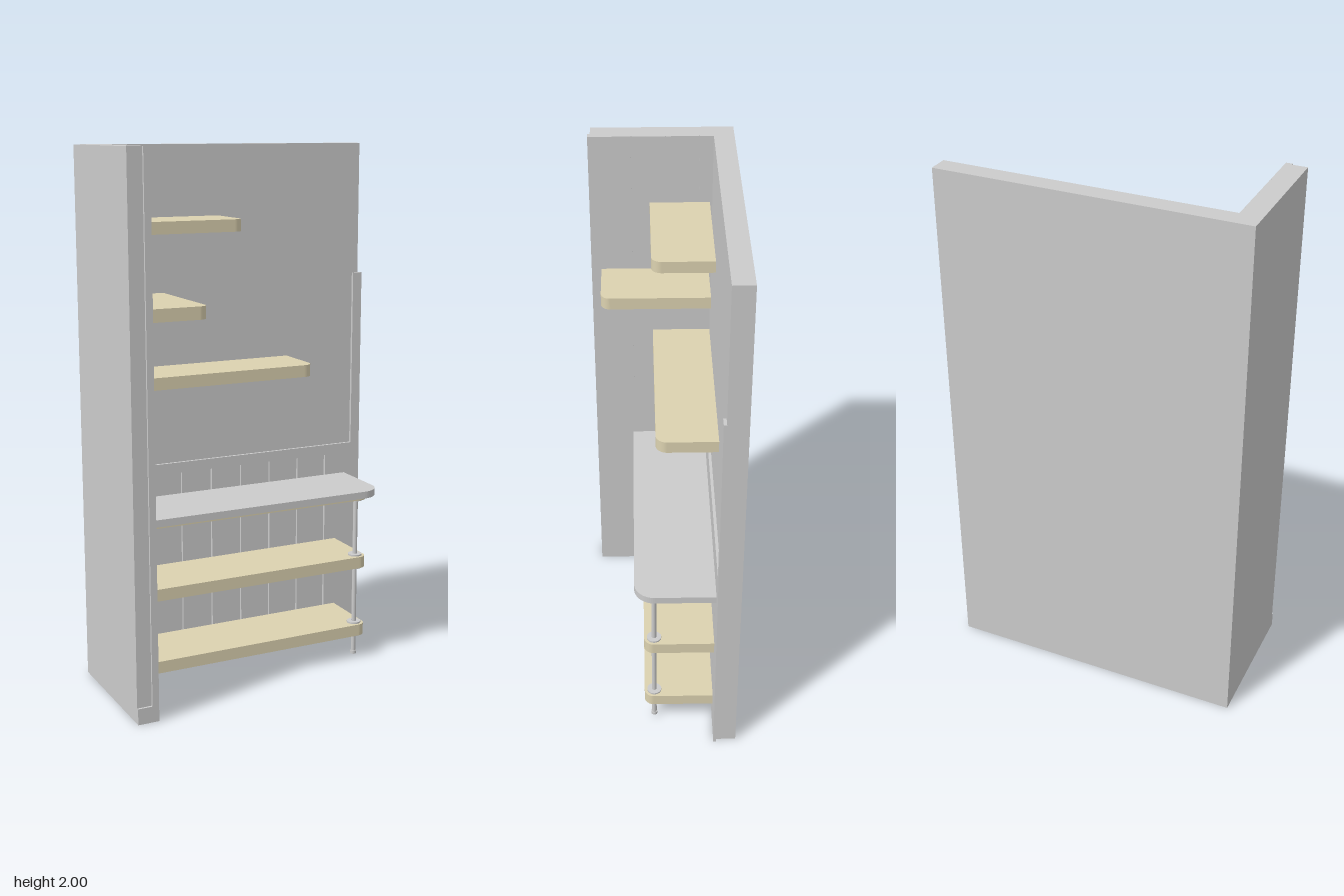
import * as THREE from 'three';

const grey = new THREE.MeshStandardMaterial({ color: 0xcccccc });
const wood = new THREE.MeshStandardMaterial({ color: 0xdcd2b0 });

const X0 = -0.495; // inner face of the side wall
const WALL = -0.191; // front face of the back wall
const PANEL = -0.18; // front face of the lower panel

export function createModel() {
  const group = new THREE.Group();
  const add = (name, geometry, material = grey) => {
    const mesh = new THREE.Mesh(geometry, material);
    mesh.name = name;
    group.add(mesh);
    return mesh;
  };
  const box = (name, x0, x1, y0, y1, z0, z1) =>
    add(name, new THREE.BoxGeometry(x1 - x0, y1 - y0, z1 - z0))
      .position.set((x0 + x1) / 2, (y0 + y1) / 2, (z0 + z1) / 2);

  // Extrude a plan drawn in (x, -z) upwards from y0 to y1
  const extrudeUp = (shape, y0, y1) =>
    new THREE.ExtrudeGeometry(shape, { depth: y1 - y0, bevelEnabled: false, curveSegments: 8 })
      .rotateX(-Math.PI / 2).translate(0, y0, 0);

  // Shelf against the side wall with one rounded free corner
  const shelf = (name, x1, y0, y1, z0, z1, r, material = wood) => {
    const s = new THREE.Shape();
    s.moveTo(X0, -z0);
    s.lineTo(X0, -z1);
    s.lineTo(x1 - r, -z1);
    s.absarc(x1 - r, -z1 + r, r, -Math.PI / 2, 0, false);
    s.lineTo(x1, -z0);
    s.closePath();
    add(name, extrudeUp(s, y0, y1), material);
  };

  // Back wall
  box('backWall', -0.575, 0.56, 0, 2, -0.265, WALL);

  // Side wall: rebated front outer corner and fine vertical grooves inside
  const side = new THREE.Shape();
  side.moveTo(-0.575, -WALL);
  side.lineTo(-0.575, -0.253);
  side.lineTo(-0.52, -0.253);
  side.lineTo(-0.52, -0.262);
  side.lineTo(X0, -0.262);
  for (const z of [0.105, -0.018, -0.14]) {
    side.lineTo(X0, -z - 0.002);
    side.lineTo(X0 - 0.004, -z - 0.002);
    side.lineTo(X0 - 0.004, -z + 0.002);
    side.lineTo(X0, -z + 0.002);
  }
  side.lineTo(X0, -WALL);
  side.closePath();
  add('sideWall', extrudeUp(side, 0, 2));
  box('sideWallBase', -0.575, -0.52, 0, 0.06, 0.253, 0.262);

  // L-shaped lower panel with vertical board grooves
  const panel = new THREE.Shape([
    [X0, 0], [0.573, 0], [0.573, 1.5], [0.535, 1.5], [0.535, 0.815], [X0, 0.815],
  ].map(([x, y]) => new THREE.Vector2(x, y)));
  for (let i = 0; i < 8; i++) {
    const x = -0.46 + i * 0.125, w = 0.003;
    panel.holes.push(new THREE.Path([
      [x - w, 0.01], [x - w, 0.775], [x + w, 0.775], [x + w, 0.01],
    ].map(([a, b]) => new THREE.Vector2(a, b))));
  }
  add('lowerPanel', new THREE.ExtrudeGeometry(panel, { depth: PANEL - WALL, bevelEnabled: false })
    .translate(0, 0, WALL));

  // Wall shelves, top to bottom
  shelf('upperShelf', -0.05, 1.696, 1.74, -0.182, 0.04, 0.035);
  shelf('deepShelf', -0.273, 1.418, 1.464, -0.182, 0.225, 0.035);
  shelf('longShelf', 0.246, 1.145, 1.19, WALL, 0.031, 0.04);

  // Counter and the shelves under it
  shelf('counter', 0.505, 0.666, 0.693, PANEL, 0.114, 0.075, grey);
  shelf('counterSupport', 0.466, 0.65, 0.666, PANEL, 0.08, 0.035);
  shelf('middleShelf', 0.466, 0.375, 0.42, PANEL, 0.08, 0.035);
  shelf('bottomShelf', 0.466, 0.096, 0.141, PANEL, 0.08, 0.035);

  // Support pole with foot and a flange on each shelf face
  const PX = 0.43, PZ = 0.043;
  const disc = (name, r, y0, y1) =>
    add(name, new THREE.CylinderGeometry(r, r, y1 - y0, 24)).position.set(PX, (y0 + y1) / 2, PZ);
  disc('pole', 0.009, 0.015, 0.655);
  disc('poleFoot', 0.012, 0.01, 0.022);
  for (const [y0, y1] of [[0.09, 0.096], [0.141, 0.147], [0.369, 0.375], [0.42, 0.426], [0.644, 0.65]])
    disc('poleFlange', 0.027, y0, y1);

  return group;
}
